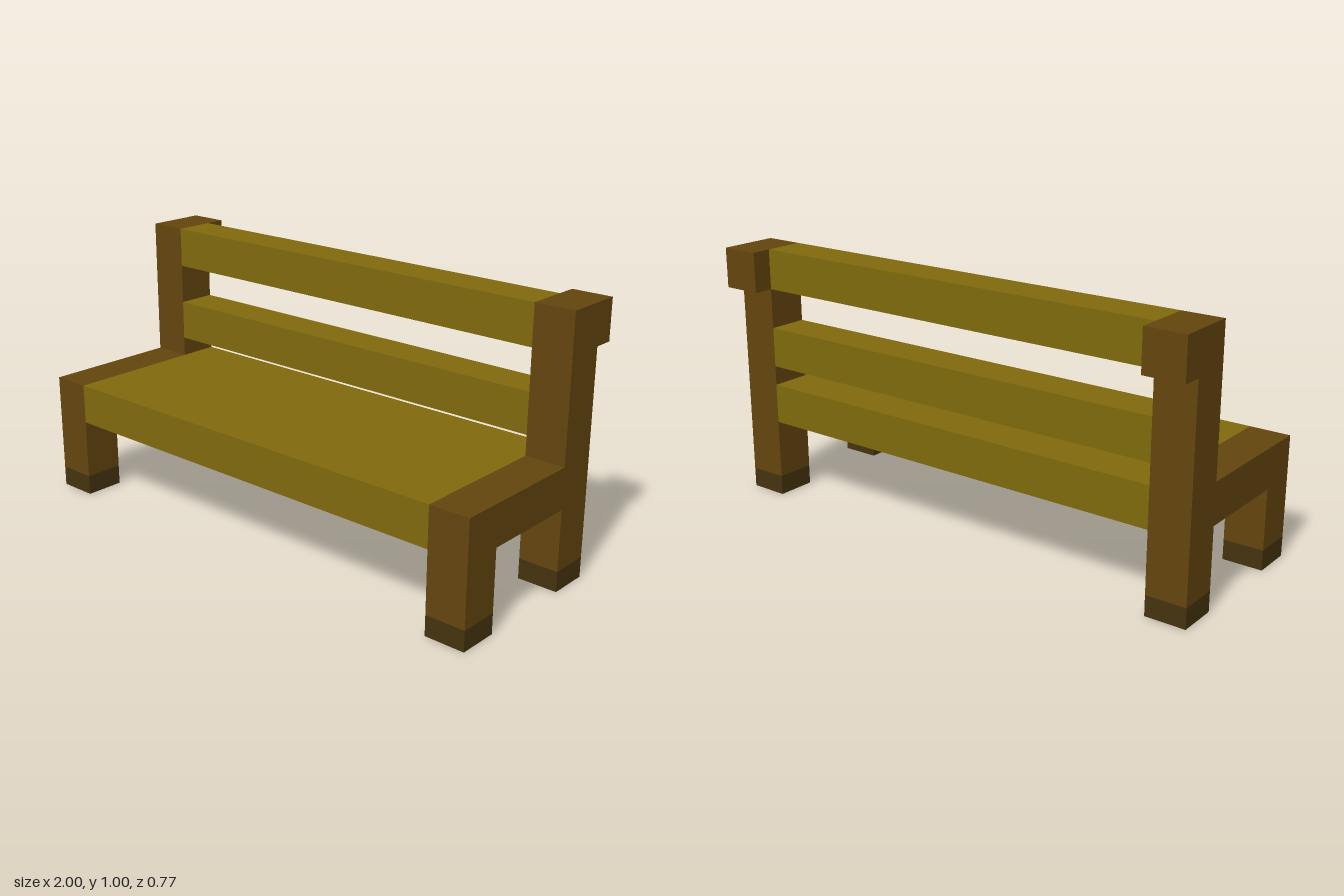
import * as THREE from 'three';

const material = (name, color) => {
  const m = new THREE.MeshStandardMaterial({ color });
  m.name = name;
  return m;
};

// Box given by its limits on each axis
function block(name, mat, [x0, x1], [y0, y1], [z0, z1]) {
  const mesh = new THREE.Mesh(new THREE.BoxGeometry(x1 - x0, y1 - y0, z1 - z0), mat);
  mesh.position.set((x0 + x1) / 2, (y0 + y1) / 2, (z0 + z1) / 2);
  mesh.name = name;
  return mesh;
}

export function createModel() {
  const frameWood = material('brown frame wood', 0x64450e);
  const slatWood = material('olive slat wood', 0x806a0d);
  const footWood = material('dark foot wood', 0x46330f);

  const bench = new THREE.Group();
  bench.name = 'bench';

  const inner = 0.846, thick = 1 - inner;
  const foot = 0.077, seatLow = 0.308, seatTop = 0.462, capLow = 0.846;
  const front = [0.231, 0.385], back = [-0.308, -0.154], capBack = -0.385;

  // Side frame outline: legs, armless seat rail, back post and rear cap
  const outline = new THREE.Shape([
    [front[1], foot], [front[1], seatTop], [back[1], seatTop], [back[1], 1],
    [capBack, 1], [capBack, capLow], [back[0], capLow], [back[0], foot],
    [back[1], foot], [back[1], seatLow], [front[0], seatLow], [front[0], foot],
  ].map(([z, y]) => new THREE.Vector2(-z, y)));
  const frameGeometry = new THREE.ExtrudeGeometry(outline, { depth: thick, bevelEnabled: false });
  frameGeometry.rotateY(Math.PI / 2);

  for (const [side, x0] of [['left', inner], ['right', -1]]) {
    const frame = new THREE.Mesh(frameGeometry, frameWood);
    frame.name = side + 'SideFrame';
    frame.position.x = x0;
    bench.add(frame);
    // Dark feet
    bench.add(block(side + 'FrontFoot', footWood, [x0, x0 + thick], [0, foot], front));
    bench.add(block(side + 'BackFoot', footWood, [x0, x0 + thick], [0, foot], back));
  }

  // Seat and backrest slats between the frames
  const span = [-inner, inner];
  bench.add(block('seat', slatWood, span, [seatLow, seatTop], [back[0], front[1]]));
  bench.add(block('lowerBackSlat', slatWood, span, [0.538, 0.692], back));
  bench.add(block('upperBackSlat', slatWood, span, [capLow, 1], back));

  return bench;
}
